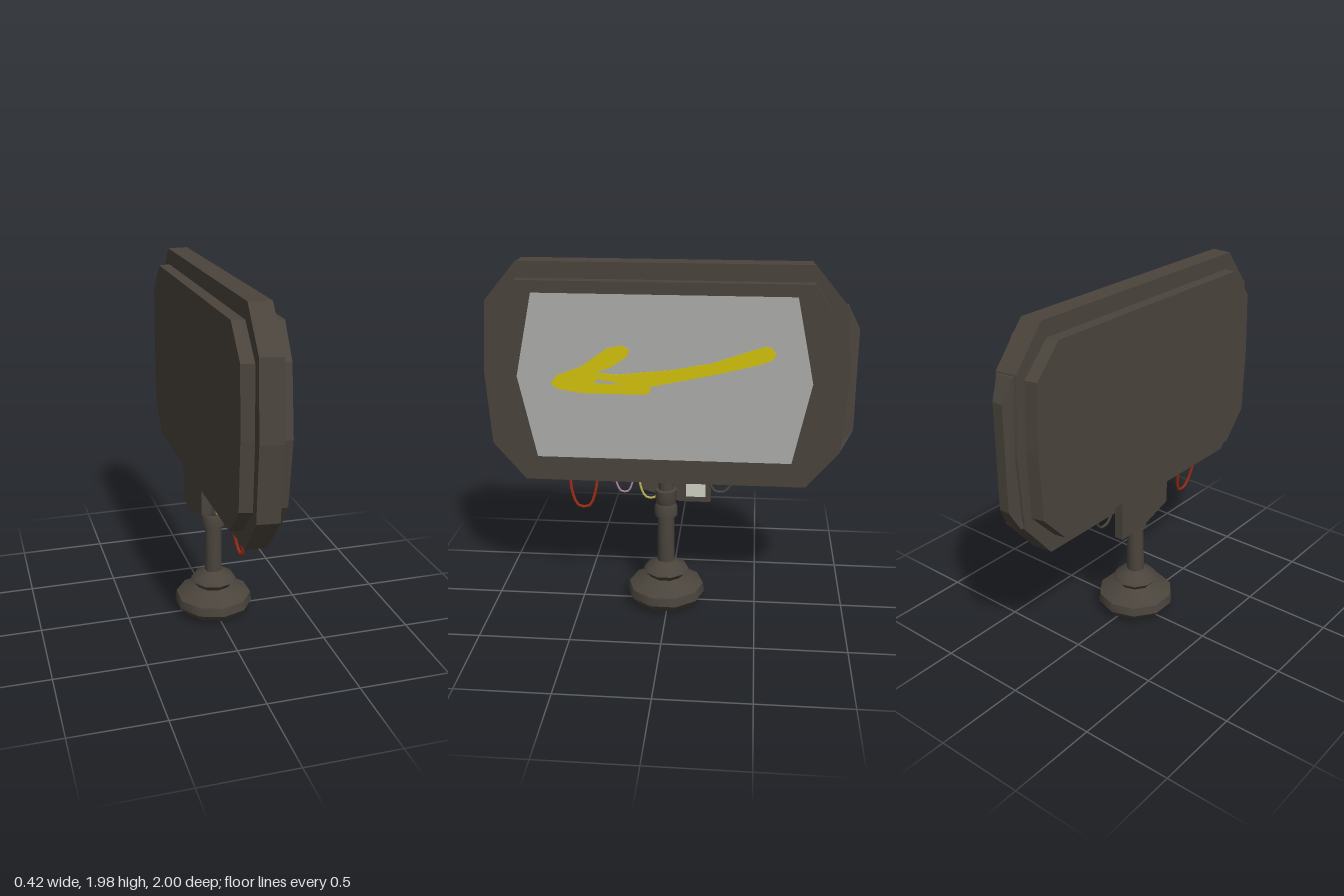
import * as THREE from 'three';
import { toCreasedNormals } from 'three/addons/utils/BufferGeometryUtils.js';

const mat = (name, color, side = THREE.FrontSide) => {
  const m = new THREE.MeshStandardMaterial({ color, side });
  m.name = name;
  return m;
};

export function createModel() {
  const group = new THREE.Group();
  const dark = mat('dark metal', 0x4a443c);
  const grey = mat('panel grey', 0xacacaa);
  const yellow = mat('paint yellow', 0xd2c20c);
  const mauve = mat('mauve', 0xb08ca6);
  const red = mat('wire red', 0x9c2c18);
  const paleYellow = mat('wire pale yellow', 0xbdb45a);
  const cream = mat('cream', 0xcfd2c2);

  const add = (name, geometry, material) => {
    const mesh = new THREE.Mesh(geometry, material);
    mesh.name = name;
    group.add(mesh);
    return mesh;
  };

  const MID_U = -0.02, MID_Y = 1.367;
  const vec = (pts) => pts.map(([u, y]) => new THREE.Vector2(u, y));

  // Symmetric sign outline: top half width, shoulder [width, height], tip width, half height
  const outline = (top, shoulder, tip, h) => {
    const quarter = [[top, h]];
    if (shoulder) quarter.push(shoulder);
    const lower = quarter.map(([u, y]) => [u, -y]).reverse();
    const right = [...quarter, [tip, 0], ...lower];
    const left = right.map(([u, y]) => [-u, y]).reverse();
    return vec([...right, ...left].map(([u, y]) => [u + MID_U, y + MID_Y]));
  };

  // Extrude a side profile (u = -z, y) from x0 to x1, optionally reshaping its vertices first
  const slab = (name, points, x0, x1, material, { hole, rule } = {}) => {
    const shape = new THREE.Shape(points);
    if (hole) shape.holes.push(new THREE.Path(hole));
    const g = new THREE.ExtrudeGeometry(shape, { depth: x1 - x0, bevelEnabled: false });
    g.translate(0, 0, x0);
    if (rule) {
      const p = g.attributes.position;
      for (let i = 0; i < p.count; i++) {
        const [u, x] = rule(p.getX(i), p.getZ(i));
        p.setX(i, u);
        p.setZ(i, x);
      }
      g.computeVertexNormals();
    }
    g.rotateY(Math.PI / 2);
    return add(name, g, material);
  };
  const taperBack = (scale, x0) => (u, x) =>
    [x < x0 + 0.001 ? MID_U + (u - MID_U) * scale : u, x];

  // Sign housing in three layers
  slab('middleHousing', outline(0.777, [0.955, 0.4], 0.98, 0.612), -0.06, 0.055, dark,
    { rule: taperBack(0.985, -0.06) });
  slab('backHousing', outline(0.737, [0.89, 0.36], 0.905, 0.523), -0.125, -0.06, dark,
    { rule: taperBack(0.982, -0.125) });
  const opening = outline(0.7, null, 0.797, 0.465);
  const glass = outline(0.692, null, 0.788, 0.458);
  slab('frontFrame', outline(0.777, [0.887, 0.355], 0.934, 0.523), 0.055, 0.115, dark, { hole: opening });
  slab('frameLining', opening, 0.055, 0.115, [dark, mauve], { hole: glass });
  slab('signPanel', opening, 0.056, 0.08, grey);

  // Raised cap on the rear end
  slab('endCap', vec([[0.88, 0.975], [0.94, 0.975], [1, 1.085], [1, 1.645], [0.94, 1.76], [0.88, 1.76]]),
    -0.055, 0.045, dark,
    { rule: (u, x) => [u, u > 0.97 ? (x < 0 ? -0.04 : 0.02) : x] });

  // Hand-painted arrow
  slab('arrow', vec([[0.556, 1.544], [0.572, 1.512], [0.551, 1.48], [0.476, 1.453], [0.289, 1.405],
    [0.075, 1.357], [-0.1, 1.319], [-0.096, 1.314], [-0.091, 1.287], [-0.128, 1.276], [-0.46, 1.276],
    [-0.599, 1.298], [-0.631, 1.33], [-0.594, 1.373], [-0.46, 1.426], [-0.321, 1.528], [-0.246, 1.544],
    [-0.203, 1.523], [-0.214, 1.485], [-0.299, 1.426], [-0.385, 1.394], [-0.278, 1.383],
    [0.021, 1.416], [0.235, 1.458], [0.422, 1.523], [0.519, 1.555]]),
  0.0805, 0.084, yellow,
  { hole: vec([[-0.396, 1.335], [-0.38, 1.357], [-0.31, 1.346], [-0.246, 1.33]]) });

  // Turned pedestal and post
  const lathe = (name, profile, sides, material) => {
    const g = toCreasedNormals(new THREE.LatheGeometry(vec(profile), sides), 0.7);
    const mesh = add(name, g, material);
    mesh.position.z = 0.015;
    return mesh;
  };
  lathe('pedestal', [[0.11, 0], [0.185, 0.015], [0.222, 0.06], [0.215, 0.11], [0.1, 0.165],
    [0.13, 0.2], [0.115, 0.22], [0.05, 0.258]], 10, dark);
  lathe('post', [[0.05, 0.25], [0.047, 0.54], [0.065, 0.54], [0.065, 0.595], [0.055, 0.615],
    [0.06, 0.63], [0.06, 0.695], [0.042, 0.7], [0.042, 0.78]], 12, dark);
  const foot = add('footPad', new THREE.CircleGeometry(0.111, 10), grey);
  foot.rotation.x = Math.PI / 2;
  foot.position.set(0, 0.001, 0.015);

  // Control box under the housing with a small lit window
  slab('controlBox', vec([[-0.165, 0.86], [-0.165, 0.672], [0.06, 0.6], [0.235, 0.6], [0.235, 0.86]]),
    -0.108, -0.055, dark);
  slab('controlWindow', vec([[0.095, 0.632], [0.205, 0.632], [0.205, 0.745], [0.095, 0.745]]),
    -0.055, -0.05, cream);

  // Hanging wire loops: [z start, z end, lowest y, x at top, x at bottom]
  const wire = (name, z0, z1, low, xTop, xLow, r, material) => {
    const top = 0.78, mid = (z0 + z1) / 2, w = (z1 - z0) / 2;
    const pts = [[-1, 1], [-0.93, 0.5], [-0.4, 0], [0.4, 0], [0.85, 0.45], [1, 1]].map(([s, t]) =>
      new THREE.Vector3(xLow + (xTop - xLow) * t, low + (top - low) * t, mid + s * w));
    add(name, new THREE.TubeGeometry(new THREE.CatmullRomCurve3(pts), 14, r, 5), material);
  };
  wire('redWire', 0.56, 0.405, 0.585, -0.02, 0.015, 0.009, red);
  wire('mauveWire', 0.3, 0.2, 0.677, -0.01, 0, 0.006, mauve);
  wire('yellowWire', 0.165, 0.04, 0.645, -0.01, 0, 0.007, paleYellow);
  wire('darkWire', -0.355, -0.22, 0.685, -0.03, -0.02, 0.008, dark);

  return group;
}
